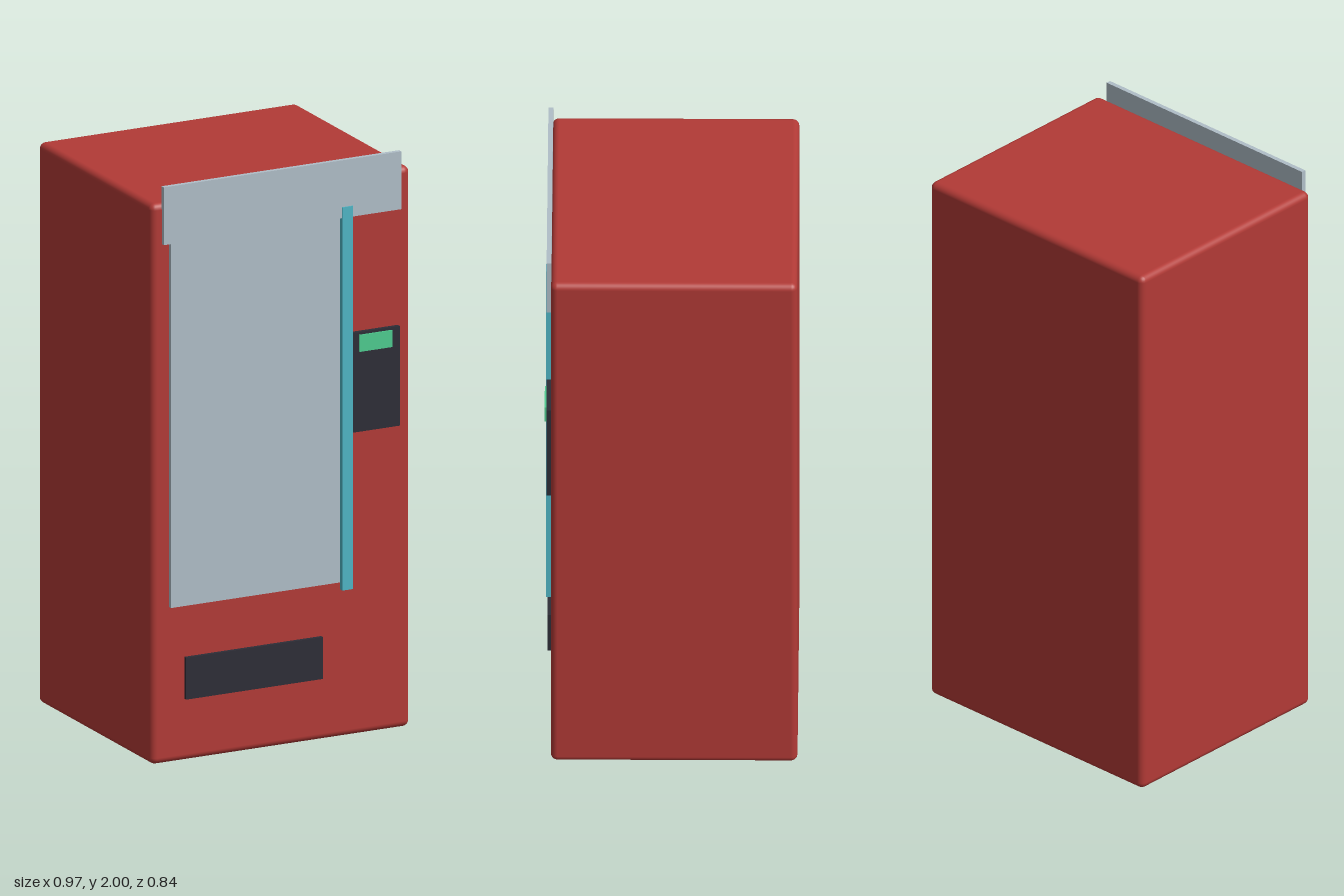
import * as THREE from 'three';
import { RoundedBoxGeometry } from 'three/addons/geometries/RoundedBoxGeometry.js';

function material(name, color) {
  const m = new THREE.MeshStandardMaterial({ color });
  m.name = name;
  return m;
}

export function createModel() {
  const group = new THREE.Group();
  group.name = 'vendingMachine';

  const red = material('cabinet red', 0xb23a36);
  const grey = material('pale grey', 0xb0bec8);
  const cyan = material('cyan trim', 0x4fb6c6);
  const dark = material('dark plastic', 0x2d2d37);
  const green = material('screen green', 0x4ecb8f);

  // Cabinet with softly rounded edges
  const cabinet = new THREE.Mesh(new RoundedBoxGeometry(0.967, 1.94, 0.817, 3, 0.022), red);
  cabinet.name = 'cabinet';
  cabinet.position.set(0, 0.97, -0.0105);
  group.add(cabinet);

  // Thin panels on the front: name, material, x range, y range, z range
  const panels = [
    ['headerSign', grey, -0.445, 0.442, 1.8, 2.0, 0.396, 0.412],
    ['displayWindow', grey, -0.418, 0.213, 0.54, 1.8, 0.396, 0.411],
    ['lightStrip', cyan, 0.22, 0.26, 0.512, 1.838, 0.396, 0.416],
    ['controlPanel', dark, 0.26, 0.436, 1.052, 1.397, 0.396, 0.413],
    ['controlScreen', green, 0.283, 0.406, 1.33, 1.388, 0.411, 0.419],
    ['deliverySlot', dark, -0.361, 0.15, 0.215, 0.36, 0.396, 0.411],
  ];
  for (const [name, mat, x0, x1, y0, y1, z0, z1] of panels) {
    const panel = new THREE.Mesh(new THREE.BoxGeometry(x1 - x0, y1 - y0, z1 - z0), mat);
    panel.name = name;
    panel.position.set((x0 + x1) / 2, (y0 + y1) / 2, (z0 + z1) / 2);
    group.add(panel);
  }

  return group;
}
